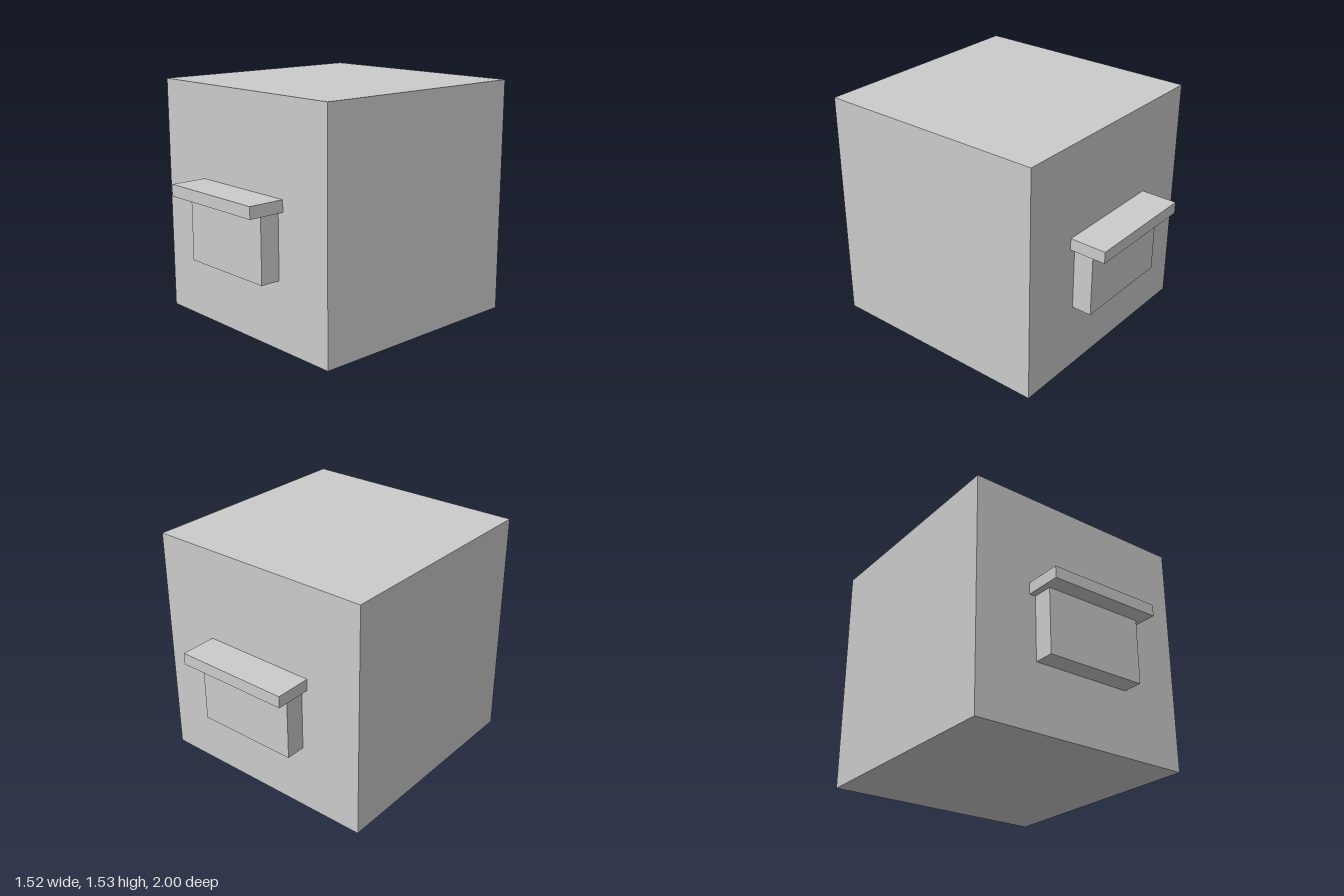
import * as THREE from 'three';

const material = new THREE.MeshStandardMaterial({ color: 0xcccccc, flatShading: true });

// Box given by its width, its bottom and top, and its back and front
function block(name, width, y0, y1, z0, z1) {
  const mesh = new THREE.Mesh(new THREE.BoxGeometry(width, y1 - y0, z1 - z0), material);
  mesh.name = name;
  mesh.position.set(0, (y0 + y1) / 2, (z0 + z1) / 2);
  return mesh;
}

export function createModel() {
  const model = new THREE.Group();
  model.name = 'cubeWithLedges';

  // Main cube
  const half = 0.762;
  model.add(block('mainCube', 2 * half, 0, 1.527, -half, half));

  // Matching box with an overhanging lid on the front and back
  for (const [name, turn] of [['frontLedge', 0], ['backLedge', Math.PI]]) {
    const ledge = new THREE.Group();
    ledge.name = name;
    ledge.add(
      block('ledgeBox', 0.682, 0.431, 0.853, half - 0.01, 0.892),
      block('ledgeLid', 0.766, 0.853, 0.929, half - 0.01, 1),
    );
    ledge.rotation.y = turn;
    model.add(ledge);
  }
  return model;
}
